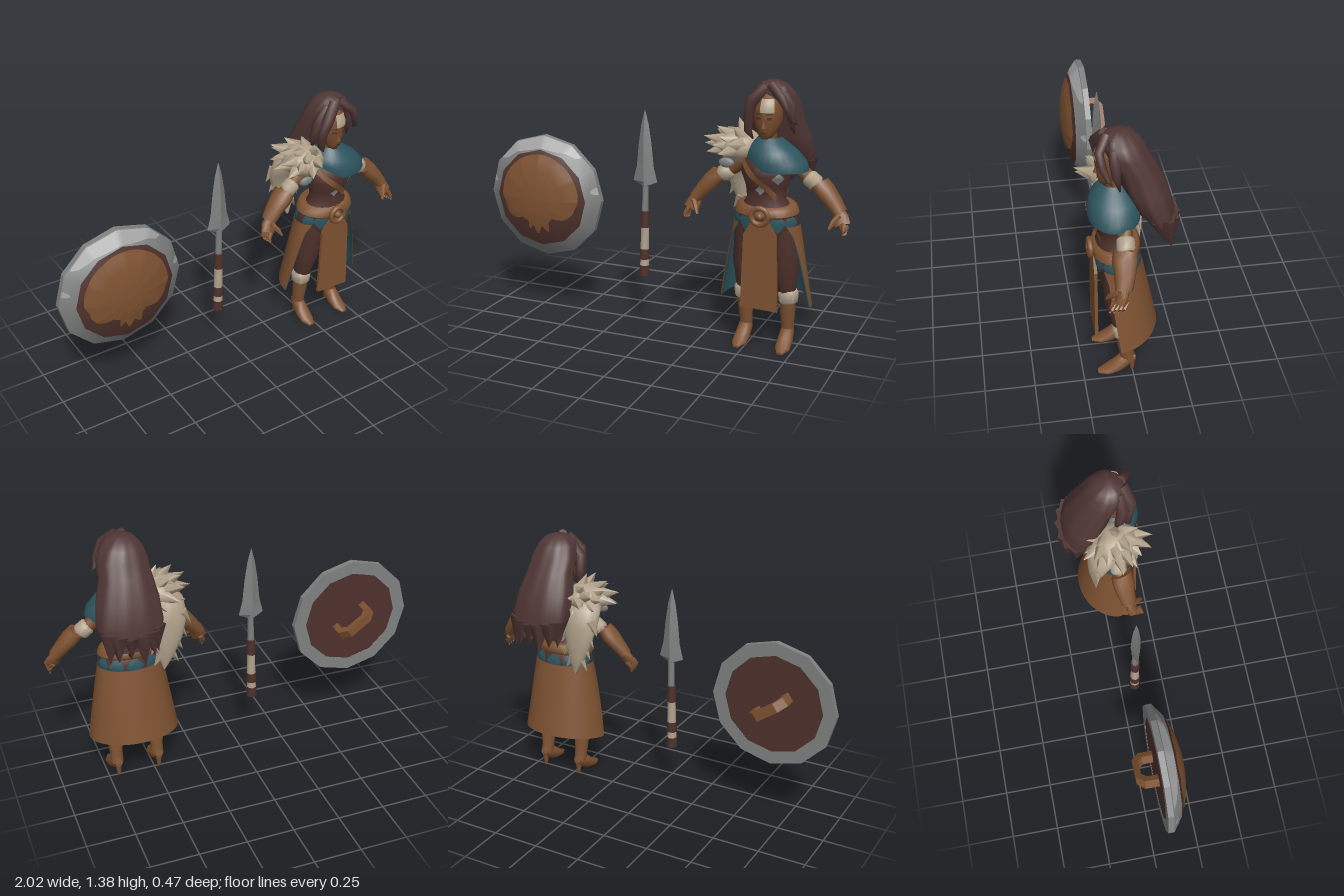
import * as THREE from 'three';
import { toCreasedNormals } from 'three/addons/utils/BufferGeometryUtils.js';

const CX = 0.585; // body centre line
const V = (x, y, z) => new THREE.Vector3(x, y, z);
const lerp = THREE.MathUtils.lerp;
const mat = (name, color) => {
  const m = new THREE.MeshStandardMaterial({ color, side: THREE.DoubleSide });
  m.name = name;
  return m;
};

// Closed or open skin over elliptical rings [x, y, z, rx, rz]; rings follow the path unless flat
function loft(rings, { seg = 12, flat = true, caps = true, wave = 0, crease = 0.9, rule } = {}) {
  const pos = [], idx = [], up = V(0, 1, 0);
  rings.forEach(([x, y, z, rx, rz = rx], i) => {
    const a = rings[Math.max(0, i - 1)], b = rings[Math.min(rings.length - 1, i + 1)];
    const q = new THREE.Quaternion();
    if (!flat) q.setFromUnitVectors(up, V(b[0] - a[0], b[1] - a[1], b[2] - a[2]).normalize());
    for (let j = 0; j < seg; j++) {
      const t = j / seg * Math.PI * 2, w = 1 + wave * Math.sin(t * 9 + i * 0.4);
      const p = V(rx * w * Math.cos(t), 0, rz * w * Math.sin(t)).applyQuaternion(q).add(V(x, y, z));
      if (rule) rule(p, i);
      pos.push(p.x, p.y, p.z);
    }
  });
  for (let i = 0; i < rings.length - 1; i++) for (let j = 0; j < seg; j++) {
    const a = i * seg + j, c = i * seg + (j + 1) % seg;
    idx.push(a, a + seg, c, c, a + seg, c + seg);
  }
  if (caps) for (let j = 1; j < seg - 1; j++) {
    const t = (rings.length - 1) * seg;
    idx.push(0, j, j + 1, t, t + j + 1, t + j);
  }
  const g = new THREE.BufferGeometry();
  g.setAttribute('position', new THREE.Float32BufferAttribute(pos, 3));
  g.setIndex(idx);
  return toCreasedNormals(g, crease);
}

// Grid surface from a function of u and v
function sheet(fn, nu = 8, nv = 4) {
  const pos = [], idx = [];
  for (let i = 0; i <= nu; i++) for (let j = 0; j <= nv; j++) pos.push(...fn(i / nu, j / nv));
  for (let i = 0; i < nu; i++) for (let j = 0; j < nv; j++) {
    const a = i * (nv + 1) + j, b = a + nv + 1;
    idx.push(a, b, a + 1, a + 1, b, b + 1);
  }
  const g = new THREE.BufferGeometry();
  g.setAttribute('position', new THREE.Float32BufferAttribute(pos, 3));
  g.setIndex(idx);
  g.computeVertexNormals();
  return g;
}

// Point just above a lofted body at angle a (front is PI / 2)
function on(rings, a, y, off) {
  let i = 0;
  while (i < rings.length - 2 && rings[i + 1][1] < y) i++;
  const p = rings[i], q = rings[i + 1], t = (y - p[1]) / (q[1] - p[1]);
  const [x, z, rx, rz] = [0, 2, 3, 4].map(k => lerp(p[k], q[k], t));
  return [x + (rx + off) * Math.cos(a), y, z + (rz + off) * Math.sin(a)];
}

export function createModel() {
  const leather = mat('leather', 0x7e5231), maroon = mat('dark leather', 0x4e312c), hairMat = mat('hair', 0x503735);
  const skin = mat('skin', 0x774b2c), fur = mat('fur', 0xb3a38c), steel = mat('steel', 0x7f8180);
  const bright = mat('bright steel', 0xa3a4a3), teal = mat('teal cloth', 0x2d545e);
  const root = new THREE.Group();
  const group = (name, parent = root) => {
    const g = new THREE.Group();
    g.name = name;
    parent.add(g);
    return g;
  };
  const add = (parent, name, geo, m) => {
    const mesh = new THREE.Mesh(geo, m);
    mesh.name = name;
    parent.add(mesh);
    return mesh;
  };
  const spike = (parent, name, m, p, dir, len, r) => {
    const s = add(parent, name, new THREE.ConeGeometry(r, len, 5).translate(0, len / 2, 0), m);
    s.position.set(...p);
    s.quaternion.setFromUnitVectors(V(0, 1, 0), V(...dir).normalize());
  };

  // Shield: twelve-sided dome with painted front and slanted arched grip
  const shield = group('shield');
  shield.position.set(-0.668, 0.665, 0);
  const dome = [[0.335, 0.085], [0.265, 0.137], [0.18, 0.172], [0.09, 0.19], [0, 0.196]];
  const turn = pts => toCreasedNormals(new THREE.LatheGeometry(pts.map(p => new THREE.Vector2(...p)), 12).rotateX(Math.PI / 2), 0.4);
  add(shield, 'shieldRim', turn([[0.265, 0.055], [0.335, 0.055], dome[0], dome[1]]), steel);
  add(shield, 'shieldFace', turn(dome.slice(1)), maroon);
  add(shield, 'shieldBack', turn([[0, 0.056], [0.265, 0.056]]), maroon);
  const domeZ = r => {
    const i = Math.max(1, dome.findIndex(d => d[0] <= r)), a = dome[i - 1], b = dome[i];
    return lerp(b[1], a[1], (r - b[0]) / (a[0] - b[0]));
  };
  // ratio between a true circle and the twelve-sided outline
  const facet = th => {
    const s = Math.PI / 6;
    return Math.cos(th - Math.floor(th / s) * s - s / 2) / Math.cos(s / 2);
  };
  const paint = (th, r) => [r * Math.cos(th), r * Math.sin(th), domeZ(r * facet(th)) + 0.003];
  const drips = [[0, 0.23], [90, 0.242], [180, 0.23], [190, 0.21], [200, 0.215], [215, 0.2], [228, 0.14], [245, 0.135],
    [252, 0.18], [259, 0.145], [268, 0.2], [278, 0.145], [288, 0.19], [298, 0.135], [312, 0.13], [325, 0.18], [340, 0.21], [350, 0.215], [360, 0.23]];
  const dripR = d => {
    const i = Math.max(1, drips.findIndex(p => p[0] >= d)), [a, b] = [drips[i - 1], drips[i]];
    return lerp(a[1], b[1], (d - a[0]) / (b[0] - a[0]));
  };
  add(shield, 'shieldPaint', sheet((u, v) => paint(u * Math.PI * 2, v * dripR(u * 360)), 120, 8), leather);
  // worn bright areas on the rim
  for (const [a, b, w] of [[0.8, 2.5, 0.056], [0.12, 0.24, 0.03], [2.86, 2.96, 0.03]])
    add(shield, 'shieldShine', sheet((u, v) => {
      const th = lerp(a, b, u);
      return paint(th, lerp(0.328 - w * Math.sqrt(Math.sin(u * Math.PI)), 0.333, v) / facet(th));
    }, 32, 2), bright);
  const arch = new THREE.Shape([[-0.11, 0.056], [-0.11, -0.015], [-0.065, -0.055], [0.065, -0.055], [0.11, -0.015], [0.11, 0.056],
    [0.075, 0.056], [0.075, 0], [0.05, -0.025], [-0.05, -0.025], [-0.075, 0], [-0.075, 0.056]].map(p => new THREE.Vector2(...p)));
  add(shield, 'shieldGrip', new THREE.ExtrudeGeometry(arch, { depth: 0.05, bevelEnabled: false })
    .rotateX(Math.PI / 2).translate(0, 0.025, 0).rotateZ(-0.62), leather);

  // Spear: diamond blade, metal neck and wrapped shaft
  const spear = group('spear');
  const stack = pts => pts.map(([y, rx, rz = rx, x = -0.084]) => [x, y, 0.065, rx, rz]);
  add(spear, 'blade', loft(stack([[0.775, 0.02], [0.8, 0.068, 0.02], [0.88, 0.048, 0.026], [1, 0.036, 0.022], [1.1, 0.021, 0.014], [1.175, 0.002]]), { seg: 4, crease: 0.3 }), steel);
  [[0.63, 0.8, 0.018, steel], [0.55, 0.64, 0.026, maroon], [0.43, 0.55, 0.024, fur], [0.375, 0.43, 0.029, maroon],
    [0.34, 0.375, 0.026, fur], [0.285, 0.34, 0.03, maroon]].forEach(([a, b, r, m]) =>
    add(spear, 'shaft', loft(stack([[a, r, r, -0.097 + a * 0.018], [b, r * 0.93, r * 0.93, -0.097 + b * 0.018]]), { seg: 8 }), m));

  // Torso, hips and neck
  const body = group('body');
  const torso = [[0.57, 0.12, 0.08, 0.06], [0.62, 0.155, 0.108, 0.065], [0.69, 0.16, 0.11, 0.068], [0.74, 0.135, 0.1, 0.075], [0.79, 0.1, 0.07, 0.085],
    [0.85, 0.105, 0.075, 0.09], [0.92, 0.125, 0.097, 0.1], [0.98, 0.125, 0.085, 0.095], [1.04, 0.115, 0.06, 0.075], [1.08, 0.05, 0.05, 0.07]]
    .map(([y, rx, rz, z]) => [CX, y, z, rx, rz]);
  add(body, 'torso', loft(torso, { seg: 20 }), maroon);
  add(body, 'neck', loft([[CX, 1.04, 0.07, 0.045], [CX, 1.15, 0.085, 0.04]]), skin);
  const patch = (name, m, a, y, w, h) => add(body, name, sheet((u, v) => on(torso, a + (u + v - 1) * w, y + (u - v) * h, 0.006), 6, 6), m);
  for (const a of [0.5, 1.02, 2.12, 2.64, 3.5, 4.1, 4.71, 5.32, 5.9]) patch('hipPatch', teal, a, 0.685, 0.29, 0.055);
  patch('chestPlate', steel, 1.65, 0.845, 0.22, 0.025);
  patch('chestPlate', steel, 0.85, 0.91, 0.3, 0.03);
  const strap = (a0, y0, a1, y1) => add(body, 'strap', sheet((u, v) => on(torso, lerp(a0, a1, u), lerp(y0, y1, u) + (v - 0.5) * 0.04, 0.01), 12, 2), leather);
  strap(2.6, 1.0, 0.9, 0.81);
  strap(3.7, 0.98, 5.8, 0.82);
  add(body, 'belt', loft([[0.712, 0.15, 0.11], [0.725, 0.164, 0.12], [0.755, 0.154, 0.116], [0.768, 0.138, 0.106]]
    .map(([y, rx, rz]) => [CX, y, 0.073, rx, rz]), { seg: 24, rule: p => { p.y += (0.073 - p.z) * 0.1; } }), leather);
  add(body, 'buckle', new THREE.TorusGeometry(0.042, 0.014, 8, 18).translate(CX, 0.72, 0.196), leather);
  add(body, 'buckleBoss', new THREE.SphereGeometry(0.02, 10, 8).translate(CX, 0.72, 0.196), leather);

  // Front panel and open wrap skirt with coloured lining
  const panel = new THREE.Shape([[-0.045, 0.69], [0.045, 0.69], [0.085, 0.62], [0.1, 0.23], [-0.095, 0.236], [-0.085, 0.62]].map(p => new THREE.Vector2(...p)));
  add(body, 'frontPanel', new THREE.ExtrudeGeometry(panel, { depth: 0.016, bevelEnabled: false }).translate(CX, 0, 0.17), leather);
  const skirt = inset => sheet((u, v) => {
    const t = (u - 0.5) * 2 * lerp(2.3, 1.62, Math.sqrt(v));
    const rx = lerp(0.17, 0.24, v) - inset, rz = lerp(0.119, 0.2, v) - inset;
    return [CX + rx * Math.sin(t), lerp(0.665, 0.235 + 0.035 * Math.max(0, Math.cos(t)), v), 0.066 - rz * Math.cos(t)];
  }, 28, 8);
  add(body, 'skirt', skirt(0), leather);
  add(body, 'skirtLining', skirt(0.006), teal);

  // Mirrored legs and arms, given as offsets from the centre line
  for (const s of [1, -1]) {
    const side = s > 0 ? 'left' : 'right';
    const at = rings => rings.map(([x, ...r]) => [CX + s * x, ...r]);
    const limb = (g, name, m, rings, seg = 10) => add(g, name, loft(at(rings), { seg, flat: false }), m);
    const leg = group(side + 'Leg');
    limb(leg, 'thigh', maroon, [[0.11, 0.26, 0.05, 0.038], [0.11, 0.33, 0.056, 0.05], [0.1, 0.45, 0.066, 0.074], [0.08, 0.64, 0.065, 0.085]], 14);
    add(leg, 'kneeCuff', loft(at([[0.115, 0.24, 0.05, 0.04], [0.117, 0.252, 0.05, 0.05], [0.117, 0.3, 0.052, 0.053], [0.115, 0.315, 0.053, 0.045]]), { seg: 14, wave: 0.05 }), fur);
    limb(leg, 'bootShaft', leather, [[0.112, 0.07, 0.022, 0.034, 0.038], [0.112, 0.12, 0.03, 0.034, 0.036], [0.113, 0.2, 0.04, 0.041], [0.114, 0.27, 0.05, 0.041]]);
    add(leg, 'bootFoot', loft(at([[0.112, 0.085, -0.014, 0.02, 0.022], [0.112, 0.074, 0.03, 0.036, 0.042], [0.114, 0.035, 0.08, 0.04, 0.035],
      [0.116, 0.014, 0.13, 0.038, 0.02], [0.117, 0.006, 0.175, 0.016, 0.008]]), { flat: false, rule: p => { p.y = Math.max(0, p.y); } }), leather);
    add(leg, 'bootHeel', new THREE.CylinderGeometry(0.02, 0.009, 0.08, 8).translate(CX + s * 0.112, 0.04, 0), leather);

    const arm = group(side + 'Arm');
    limb(arm, 'upperArm', skin, [[0.09, 1.01, 0.07, 0.045], [0.18, 0.925, 0.055, 0.036], [0.28, 0.86, 0.06, 0.03]]);
    limb(arm, 'armBand', fur, [[0.195, 0.915, 0.058, 0.032], [0.205, 0.908, 0.058, 0.043], [0.24, 0.882, 0.06, 0.044], [0.25, 0.872, 0.06, 0.034]]);
    limb(arm, 'bracer', leather, [[0.262, 0.885, 0.068, 0.042, 0.056], [0.29, 0.852, 0.074, 0.047, 0.06], [0.335, 0.803, 0.08, 0.04, 0.05], [0.376, 0.752, 0.09, 0.033, 0.04]]);
    limb(arm, 'palm', leather, [[0.36, 0.77, 0.085, 0.026], [0.378, 0.735, 0.097, 0.024, 0.04], [0.394, 0.698, 0.112, 0.02, 0.04]]);
    for (let k = 0; k < 4; k++) {
      const z = 0.082 + k * 0.019;
      limb(arm, 'finger', leather, [[0.392, 0.71, z, 0.014], [0.41, 0.68, z + 0.01, 0.012], [0.406, 0.65 + 0.004 * k, z + 0.02, 0.006]], 6);
    }
    limb(arm, 'thumb', leather, [[0.375, 0.745, 0.115, 0.016], [0.352, 0.715, 0.145, 0.014], [0.338, 0.685, 0.165, 0.006]], 6);
  }

  // Cowl around the neck, draped over the left shoulder
  add(body, 'cowl', loft([[0.637, 0.945, 0.088, 0.157, 0.122], [0.635, 0.985, 0.088, 0.15, 0.126], [0.618, 1.035, 0.085, 0.12, 0.112],
    [0.6, 1.075, 0.083, 0.08, 0.082], [0.592, 1.1, 0.085, 0.055, 0.055]], { seg: 28, caps: false, rule: p => { p.y += Math.max(0, 0.6 - p.x) * 0.6 * Math.max(0, (1.1 - p.y) / 0.15); } }), teal);

  // Head and face
  const head = group('head');
  const skull = [[1.095, 0.022, 0.025, 0.122], [1.125, 0.047, 0.05, 0.107], [1.18, 0.07, 0.073, 0.092], [1.25, 0.073, 0.082, 0.087], [1.32, 0.057, 0.065, 0.075]]
    .map(([y, rx, rz, z]) => [CX, y, z, rx, rz]);
  add(head, 'skull', loft(skull, { seg: 18, crease: 1.5 }), skin);
  spike(head, 'nose', skin, [CX, 1.152, 0.163], [0, 1, -0.12], 0.055, 0.014);
  const face = (name, m, a, w, y, h) => add(head, name, sheet((u, v) => on(skull, a + (u - 0.5) * w, y + (v - 0.5) * h, 0.003), 8, 3), m);
  face('foreheadPaint', fur, 1.35, 0.95, 1.262, 0.066);
  face('mouth', maroon, 1.57, 0.5, 1.127, 0.008);
  for (const a of [1.18, 1.96]) {
    face('eye', maroon, a, 0.34, 1.2, 0.012);
    face('brow', hairMat, a, 0.44, 1.222, 0.008);
  }

  // Hair: rippled mass, ragged ends and front locks
  const hair = group('hair');
  const mane = [[0.615, 0.89, -0.13, 0.14, 0.07], [0.61, 0.98, -0.1, 0.168, 0.092], [0.605, 1.09, -0.058, 0.155, 0.106], [0.6, 1.2, -0.014, 0.128, 0.097],
    [0.6, 1.27, 0.026, 0.122, 0.098], [0.597, 1.325, 0.05, 0.1, 0.095], [0.595, 1.36, 0.058, 0.066, 0.066], [0.595, 1.375, 0.06, 0.025, 0.025]];
  add(hair, 'mane', loft(mane, { seg: 48, wave: 0.02, crease: 1.2, rule: (p, i) => { if (i === 0) p.y += (p.z + 0.15) * 0.6; } }), hairMat);
  for (let k = 0; k < 12; k++) {
    const a = k / 12 * Math.PI * 2 + 0.2, z = -0.122 + 0.05 * Math.sin(a);
    spike(hair, 'hairEnd', hairMat, [0.612 + 0.115 * Math.cos(a), 0.945 + (z + 0.15) * 0.5, z],
      [0.12 * Math.cos(a), -1, -0.22 + 0.06 * Math.sin(k * 2.3)], 0.135 + 0.025 * Math.sin(k * 4.1), 0.058);
  }
  const lock = pts => add(hair, 'lock', loft(pts, { flat: false, seg: 8, crease: 1.5 }), hairMat);
  lock([[0.52, 1.09, 0.125, 0.004], [0.497, 1.13, 0.135, 0.02], [0.5, 1.2, 0.14, 0.024], [0.518, 1.28, 0.155, 0.03], [0.58, 1.35, 0.12, 0.03]]);
  lock([[0.485, 1.1, 0.07, 0.004], [0.482, 1.17, 0.09, 0.025], [0.495, 1.25, 0.11, 0.032], [0.55, 1.33, 0.1, 0.03]]);
  lock([[0.735, 1.175, 0.11, 0.003], [0.715, 1.19, 0.125, 0.012], [0.7, 1.24, 0.145, 0.018], [0.668, 1.305, 0.16, 0.022], [0.605, 1.355, 0.12, 0.026]]);
  lock([[0.71, 1.12, 0.07, 0.004], [0.698, 1.19, 0.085, 0.02], [0.695, 1.26, 0.09, 0.028], [0.64, 1.34, 0.09, 0.03]]);

  // Fur mantle on the right shoulder with a pelt hanging behind
  const mantle = group('furMantle');
  add(mantle, 'shoulderFur', new THREE.SphereGeometry(1, 16, 12).scale(0.11, 0.085, 0.12).translate(0.435, 1.04, 0.06), fur);
  add(mantle, 'pelt', loft([[0.435, 0.645, -0.055, 0.006, 0.006], [0.425, 0.72, -0.06, 0.042, 0.02], [0.41, 0.82, -0.06, 0.075, 0.032],
    [0.405, 0.93, -0.045, 0.102, 0.048], [0.415, 1.02, 0, 0.105, 0.08], [0.435, 1.08, 0.04, 0.07, 0.055]], { seg: 16, crease: 1.2 }), fur);
  for (let k = 0; k < 24; k++) {
    const a = k * 2.4, h = 0.95 - k / 24 * 1.3, r = Math.sqrt(1 - h * h);
    const d = [r * Math.cos(a), h, r * Math.sin(a)];
    if (d[0] > 0.55) continue;
    spike(mantle, 'furTuft', fur, [0.435 + d[0] * 0.08, 1.04 + d[1] * 0.055, 0.06 + d[2] * 0.09],
      [d[0] - 0.55, d[1] * 0.7 - 0.1, d[2]], 0.095 + 0.02 * Math.sin(k * 3), 0.042);
  }
  for (let k = 0; k < 8; k++) {
    const t = Math.floor(k / 2) / 3, s = k % 2 ? 1 : -1;
    spike(mantle, 'peltTuft', fur, [0.41 + 0.015 * t + s * lerp(0.075, 0.02, t), lerp(0.96, 0.75, t), -0.055],
      [s * 0.6, -1, -0.1], 0.09, 0.03);
  }
  const clasp = add(mantle, 'clasp', new THREE.SphereGeometry(0.028, 8, 6), steel);
  clasp.position.set(0.395, 0.965, 0.155);
  clasp.scale.set(1.5, 0.9, 0.5);
  return root;
}
